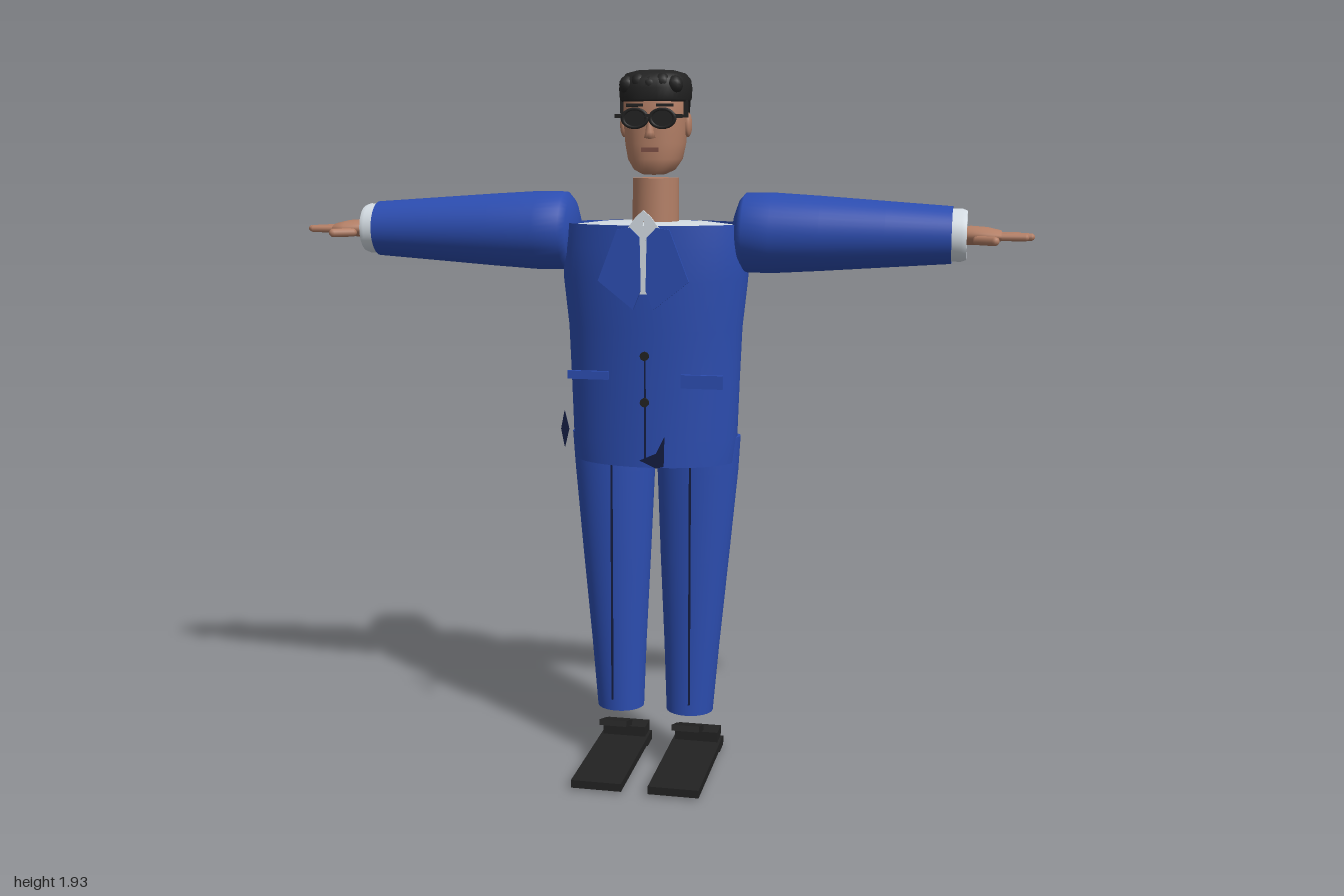
import * as THREE from 'three';

const mat = (name, color, side = THREE.FrontSide) => {
  const m = new THREE.MeshStandardMaterial({ color, side });
  m.name = name;
  return m;
};

// Stacked elliptical rings, bottom to top. Row: [y, rx, rz, zCentre]
function loft(rows, { seg = 40, start = 0, arc = Math.PI * 2, power = 1 } = {}) {
  const pos = [], idx = [], full = arc > 6.28, n = full ? seg : seg + 1;
  const bulge = v => Math.sign(v) * Math.abs(v) ** power;
  for (const [y, rx, rz, zc = 0] of rows) {
    for (let j = 0; j < n; j++) {
      const t = start + (j / seg) * arc;
      pos.push(rx * bulge(Math.sin(t)), y, zc + rz * bulge(Math.cos(t)));
    }
  }
  for (let i = 0; i < rows.length - 1; i++) {
    for (let j = 0; j < seg; j++) {
      const a = i * n + j, b = i * n + ((j + 1) % n);
      idx.push(a, b, b + n, a, b + n, a + n);
    }
  }
  const g = new THREE.BufferGeometry();
  g.setAttribute('position', new THREE.Float32BufferAttribute(pos, 3));
  g.setIndex(idx);
  g.computeVertexNormals();
  return g;
}

// Repeats the end rings so that flat ends keep a sharp edge
function capped(rows) {
  const a = rows[0], b = rows[rows.length - 1];
  return [[a[0], 0, 0, a[3]], a, ...rows, b, [b[0], 0, 0, b[3]]];
}

// Thin plate cut from a polygon
function plate(points, depth = 0.008) {
  const s = new THREE.Shape(points.map(p => new THREE.Vector2(...p)));
  return new THREE.ExtrudeGeometry(s, { depth, bevelEnabled: false });
}

export function createModel() {
  const root = new THREE.Group();
  root.name = 'suitedMan';
  const blue = mat('suitBlue', 0x2c4db0, THREE.DoubleSide);
  const navy = mat('seamNavy', 0x131c40);
  const white = mat('shirtWhite', 0xd3dbe2, THREE.DoubleSide);
  const skin = mat('skin', 0xb37f66);
  const black = mat('black', 0x222222, THREE.DoubleSide);
  const lip = mat('lips', 0x7d4f45);

  const add = (name, geo, material, x = 0, y = 0, z = 0, parent = root) => {
    const m = new THREE.Mesh(geo, material);
    m.name = name;
    m.position.set(x, y, z);
    parent.add(m);
    return m;
  };
  const box = (w, h, d) => new THREE.BoxGeometry(w, h, d);

  // Jacket body, open at the hem, and shirt top
  add('jacket', loft([
    [0.88, 0.222, 0.132, -0.06], [0.95, 0.229, 0.133, -0.06], [1.1, 0.234, 0.136, -0.06],
    [1.25, 0.24, 0.144, -0.06], [1.38, 0.254, 0.152, -0.06], [1.47, 0.256, 0.155, -0.062],
    [1.53, 0.248, 0.155, -0.063],
  ], { seg: 56 }), blue);
  add('shirtTop', loft([[1.522, 0.244, 0.15, -0.063], [1.533, 0.15, 0.1, -0.063], [1.536, 0, 0, -0.063]],
    { seg: 56 }), white);
  add('neck', loft(capped([[1.5, 0.063, 0.061, -0.065], [1.65, 0.062, 0.06, -0.065]])), skin);

  // Jacket front details
  add('frontSeam', box(0.004, 0.44, 0.006), navy, 0, 1.12, 0.077);
  add('backSeam', box(0.005, 0.62, 0.006), navy, 0, 1.2, -0.204).rotation.x = 0.034;
  for (const y of [1.185, 1.06]) {
    add('button', new THREE.CylinderGeometry(0.012, 0.012, 0.009, 16).rotateX(Math.PI / 2), black, 0, y, 0.084);
  }
  add('shirtPlacket', box(0.026, 0.18, 0.008), white, 0, 1.44, 0.092);
  add('hemNotch', plate([[-0.015, 0.9], [0.03, 0.88], [0.05, 0.885], [0.052, 0.965], [0.03, 0.92]]),
    navy, 0, 0, 0.07);
  add('ventFlap', plate([[-0.222, 1.03], [-0.232, 0.98], [-0.222, 0.93], [-0.21, 0.98]], 0.005), navy, 0, 0, 0.075);

  for (const s of [1, -1]) {
    const side = new THREE.Group();
    side.name = s > 0 ? 'leftSide' : 'rightSide';
    side.scale.x = s;
    root.add(side);
    const put = (name, geo, material, x, y, z) => add(name, geo, material, x, y, z, side);

    // Lapel, collar and pocket flap
    put('lapel', plate([[0.01, 1.5], [0.007, 1.36], [0.027, 1.31], [0.122, 1.385], [0.07, 1.52], [0.035, 1.525]]),
      blue, 0, 0, 0.094);
    put('collar', plate([[0, 1.57], [0.004, 1.49], [0.05, 1.512], [0.02, 1.553]]), white, 0, 0, 0.09);
    put('pocketFlap', box(0.112, s > 0 ? 0.036 : 0.022, 0.012), blue, 0.155, s > 0 ? 1.12 : 1.13, 0.082);

    // Arm, laid out along +x from a vertical loft
    const arm = new THREE.Group();
    arm.name = 'arm';
    arm.position.set(0, 1.506, -0.065);
    side.add(arm);
    const along = (name, rows, material) =>
      add(name, loft(rows).rotateZ(-Math.PI / 2), material, 0, 0, 0, arm);
    along('sleeve', [
      [0.215, 0, 0], [0.218, 0.05, 0.05], [0.232, 0.088, 0.09], [0.248, 0.106, 0.11], [0.32, 0.107, 0.113],
      [0.45, 0.099, 0.105], [0.62, 0.087, 0.09], [0.79, 0.075, 0.076], [0.79, 0.075, 0.076], [0.79, 0, 0],
    ], blue);
    along('shirtCuff', capped([[0.77, 0.069, 0.07], [0.815, 0.069, 0.07], [0.828, 0.064, 0.064]]), white);
    along('palm', [
      [0.81, 0.024, 0.035], [0.84, 0.025, 0.045], [0.88, 0.022, 0.056], [0.915, 0.014, 0.05], [0.922, 0, 0],
    ], skin);
    [0.97, 0.99, 1.0, 0.985].forEach((tip, i) => {
      const len = tip - 0.9, r = 0.0095;
      add('finger', new THREE.CapsuleGeometry(r, len - 2 * r, 4, 10).rotateZ(Math.PI / 2), skin,
        0.9 + len / 2, -0.002, -0.04 + i * 0.0255, arm);
    });
    const thumb = add('thumb', new THREE.CapsuleGeometry(0.012, 0.055, 4, 10).rotateZ(Math.PI / 2), skin,
      0.877, -0.01, 0.062, arm);
    thumb.rotation.y = -0.65;

    // Trouser leg with pressed crease
    const leg = put('trouserLeg', loft(capped([
      [0.155, 0.066, 0.062, -0.063], [0.35, 0.078, 0.066, -0.066], [0.6, 0.096, 0.072, -0.07],
      [0.85, 0.113, 0.077, -0.076], [0.95, 0.117, 0.072, -0.073],
    ])), blue, 0.12, 0, 0);
    const p = leg.geometry.attributes.position;
    for (let i = 0; i < p.count; i++) p.setX(i, p.getX(i) - 0.02 * (0.95 - p.getY(i)) / 0.8);
    leg.geometry.computeVertexNormals();
    put('trouserCrease', box(0.005, 0.68, 0.006), navy, 0.11, 0.53, 0.005);

    // Shoe: long sole, heel block and loose tongue
    put('sole', box(0.14, 0.022, 0.405), black, 0.107, 0.02, 0.017);
    put('heel', box(0.125, 0.056, 0.062), black, 0.107, 0.032, -0.162);
    put('heelBase', box(0.14, 0.026, 0.062), black, 0.107, 0.015, -0.163);
    put('shoeTongue', box(0.078, 0.016, 0.08), black, 0.104, 0.117, -0.011).rotation.x = -0.28;

    // Ear, brow, and one half of the glasses
    put('ear', new THREE.SphereGeometry(1, 16, 12).scale(0.011, 0.033, 0.02), skin, 0.087, 1.79, -0.068);
    put('glassesRim', new THREE.TorusGeometry(0.028, 0.005, 8, 24).scale(1.15, 0.85, 1), black, 0.037, 1.806, 0.03);
    put('lens', new THREE.CylinderGeometry(0.028, 0.028, 0.004, 24).rotateX(Math.PI / 2).scale(1.15, 0.85, 1),
      black, 0.037, 1.806, 0.03);
    put('templeArm', box(0.005, 0.007, 0.085), black, 0.088, 1.812, -0.012);
    put('templeHinge', box(0.026, 0.01, 0.006), black, 0.077, 1.812, 0.03);
    put('eyebrow', box(0.045, 0.008, 0.008), black, 0.04, 1.84, 0.016);
  }

  // Head
  add('head', loft([
    [1.658, 0, 0, -0.045], [1.66, 0.03, 0.035, -0.045], [1.672, 0.055, 0.058, -0.052],
    [1.7, 0.073, 0.073, -0.06], [1.74, 0.081, 0.08, -0.065], [1.8, 0.086, 0.084, -0.067],
    [1.86, 0.087, 0.085, -0.067], [1.9, 0.07, 0.07, -0.067], [1.915, 0, 0, -0.067],
  ], { power: 0.9 }), skin);
  add('nose', loft([[1.752, 0, 0, 0], [1.756, 0.016, 0.02, 0], [1.77, 0.012, 0.018, 0], [1.81, 0.006, 0.008, 0]],
    { seg: 12 }), skin, 0, 0, 0.013);
  add('mouth', box(0.045, 0.011, 0.008), lip, 0, 1.725, 0.013);
  add('glassesBridge', box(0.02, 0.008, 0.006), black, 0, 1.813, 0.032);

  // Hair: crown, back of the head and sideburns
  add('hairCrown', loft([
    [1.85, 0, 0, -0.066], [1.85, 0.088, 0.09, -0.066], [1.856, 0.094, 0.094, -0.066], [1.885, 0.096, 0.096, -0.066],
    [1.908, 0.092, 0.092, -0.068], [1.924, 0.078, 0.076, -0.072], [1.932, 0.05, 0.05, -0.075], [1.935, 0, 0, -0.076],
  ], { power: 0.8 }), black);
  add('hairBack', loft([
    [1.79, 0.086, 0.083, -0.067], [1.8, 0.089, 0.088, -0.067], [1.86, 0.093, 0.094, -0.066],
  ], { power: 0.85, start: Math.PI * 0.62, arc: Math.PI * 0.76 }), black);
  for (const s of [1, -1]) add('sideburn', box(0.009, 0.05, 0.022), black, s * 0.086, 1.835, -0.045);
  for (let i = 0; i < 5; i++) {
    add('hairTuft', new THREE.SphereGeometry(1, 12, 8).scale(0.022, 0.024, 0.024), black,
      -0.064 + i * 0.032, 1.893 + (i % 2) * 0.006, 0.006 - Math.abs(i - 2) * 0.004);
  }
  return root;
}
